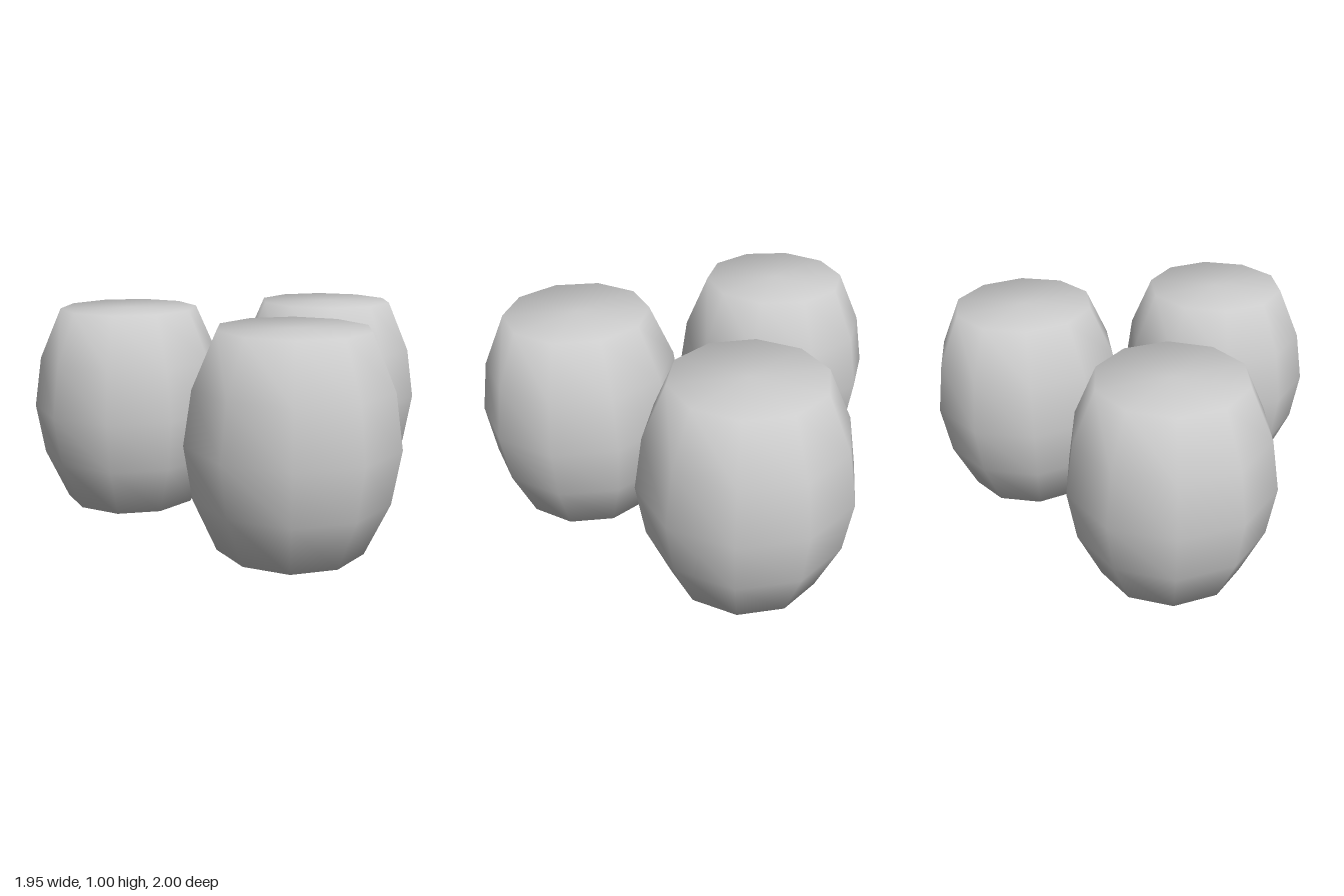
import * as THREE from 'three';

export function createModel() {
  const group = new THREE.Group();
  group.name = 'barrels';
  const material = new THREE.MeshStandardMaterial({ color: 0xcccccc });

  // Closed ten-sided barrel, smooth over the rims
  const profile = [
    [0, 0], [0.347, 0], [0.457, 0.25], [0.496, 0.5], [0.457, 0.75], [0.347, 1], [0, 1],
  ].map(([r, y]) => new THREE.Vector2(r, y));
  const barrel = new THREE.LatheGeometry(profile, 10);

  // Three barrels standing together, each turned a little: name, x, z, turn
  const places = [
    ['rightBarrel', -0.505, -0.085, 0],
    ['backBarrel', 0.487, -0.509, 0.12],
    ['frontBarrel', 0.375, 0.505, 0.066],
  ];
  for (const [name, x, z, turn] of places) {
    const mesh = new THREE.Mesh(barrel, material);
    mesh.name = name;
    mesh.position.set(x, 0, z);
    mesh.rotation.y = turn;
    group.add(mesh);
  }
  return group;
}
